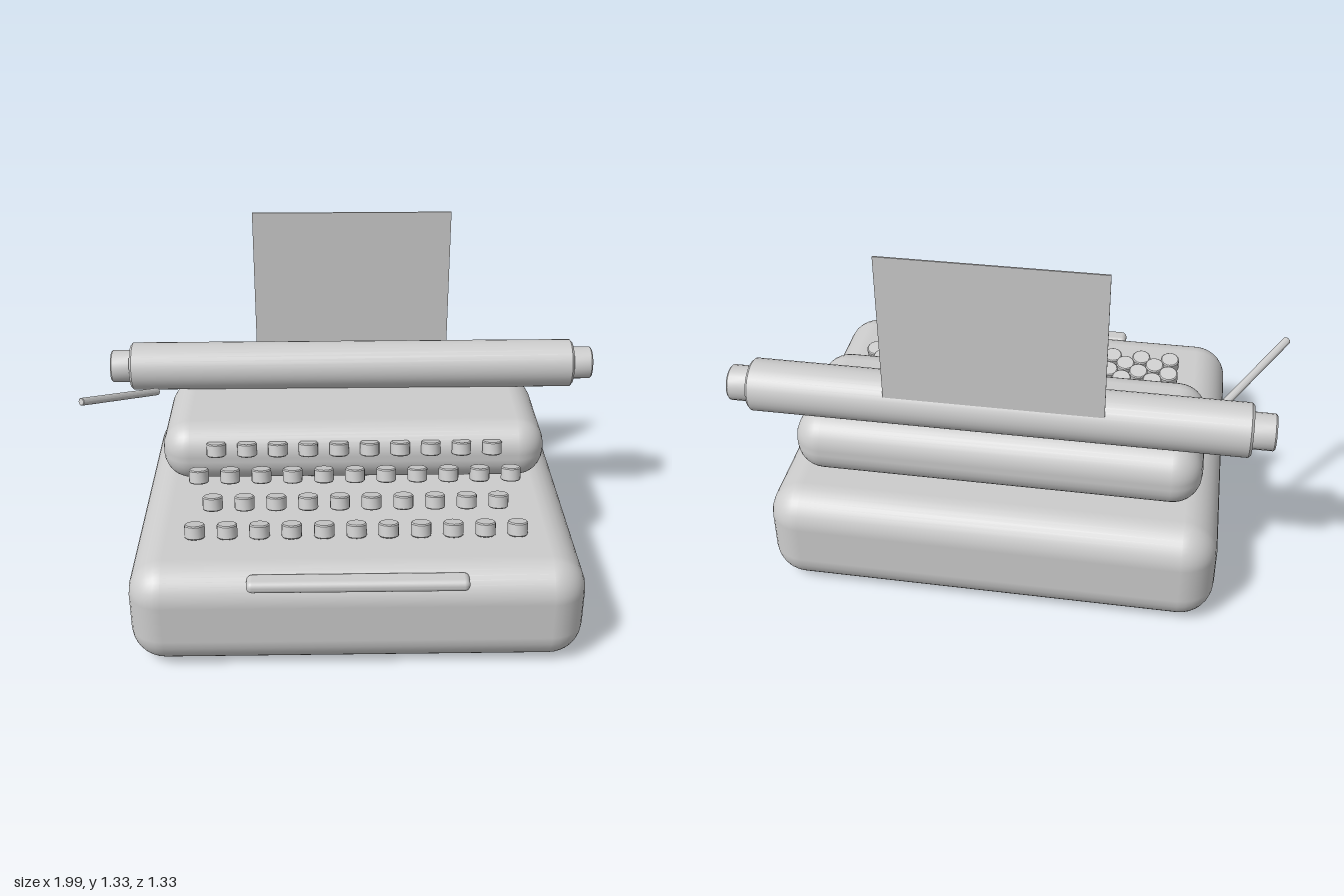
import * as THREE from 'three';
import { RoundedBoxGeometry } from 'three/addons/geometries/RoundedBoxGeometry.js';
import { toCreasedNormals } from 'three/addons/utils/BufferGeometryUtils.js';

const grey = new THREE.MeshStandardMaterial({ color: 0xcccccc });
grey.name = 'plain grey';

// Mesh with a name and a position
function part(name, geometry, x, y, z) {
  const mesh = new THREE.Mesh(geometry, grey);
  mesh.name = name;
  mesh.position.set(x, y, z);
  return mesh;
}

// Cylinder along y, centred, with small chamfers on both rims
function chamferedCylinder(radius, height, chamfer, sides) {
  const h = height / 2;
  const profile = [
    [0, -h], [radius - chamfer, -h], [radius, -h + chamfer],
    [radius, h - chamfer], [radius - chamfer, h], [0, h],
  ].map(([x, y]) => new THREE.Vector2(x, y));
  return toCreasedNormals(new THREE.LatheGeometry(profile, sides), 0.5);
}

export function createModel() {
  const model = new THREE.Group();
  model.name = 'typewriter';
  const cx = 0.023;

  // Housing
  model.add(part('base', new RoundedBoxGeometry(1.63, 0.392, 1.322, 4, 0.125), cx, 0.196, -0.005));
  model.add(part('upperHousing', new RoundedBoxGeometry(1.48, 0.236, 0.545, 4, 0.108), cx, 0.509, -0.238));

  // Space bar
  model.add(part('spaceBar', new RoundedBoxGeometry(0.777, 0.045, 0.074, 3, 0.02), cx, 0.356, 0.63));

  // Carriage roller with a knob at each end
  const carriage = new THREE.Group();
  carriage.name = 'carriage';
  carriage.position.set(cx, 0.709, -0.395);
  const roller = part('roller', chamferedCylinder(0.096, 1.786, 0.009, 32), 0, 0, 0);
  roller.rotation.z = Math.PI / 2;
  carriage.add(roller);
  const knobGeometry = chamferedCylinder(0.065, 0.09, 0.006, 20);
  for (const side of [-1, 1]) {
    const knob = part(side > 0 ? 'leftKnob' : 'rightKnob', knobGeometry, side * 0.928, 0, 0);
    knob.rotation.z = Math.PI / 2;
    carriage.add(knob);
  }
  model.add(carriage);

  // Sheet of paper rising from the back of the roller
  model.add(part('paper', new THREE.BoxGeometry(0.777, 0.6, 0.006), cx, 1.026, -0.472));

  // Return lever, slanting outward and forward
  const inner = new THREE.Vector3(-0.752, 0.669, -0.242);
  const outer = new THREE.Vector3(-0.988, 0.786, 0.073);
  const along = outer.clone().sub(inner);
  const middle = inner.clone().add(outer).multiplyScalar(0.5);
  const lever = part('returnLever', chamferedCylinder(0.0145, along.length(), 0.002, 16), middle.x, middle.y, middle.z);
  lever.quaternion.setFromUnitVectors(new THREE.Vector3(0, 1, 0), along.normalize());
  model.add(lever);

  // Four staggered rows of keys, climbing towards the back
  const keys = new THREE.Group();
  keys.name = 'keys';
  const keyGeometry = chamferedCylinder(0.037, 0.051, 0.004, 16);
  for (let row = 0; row < 4; row++) {
    const count = row % 2 ? 10 : 11;
    for (let i = 0; i < count; i++) {
      const x = cx + (i - (count - 1) / 2) * 0.117;
      const key = part('key', keyGeometry, x, 0.42 + row * 0.0465, 0.388 - row * 0.117);
      key.rotation.x = -0.26;
      keys.add(key);
    }
  }
  model.add(keys);

  return model;
}
